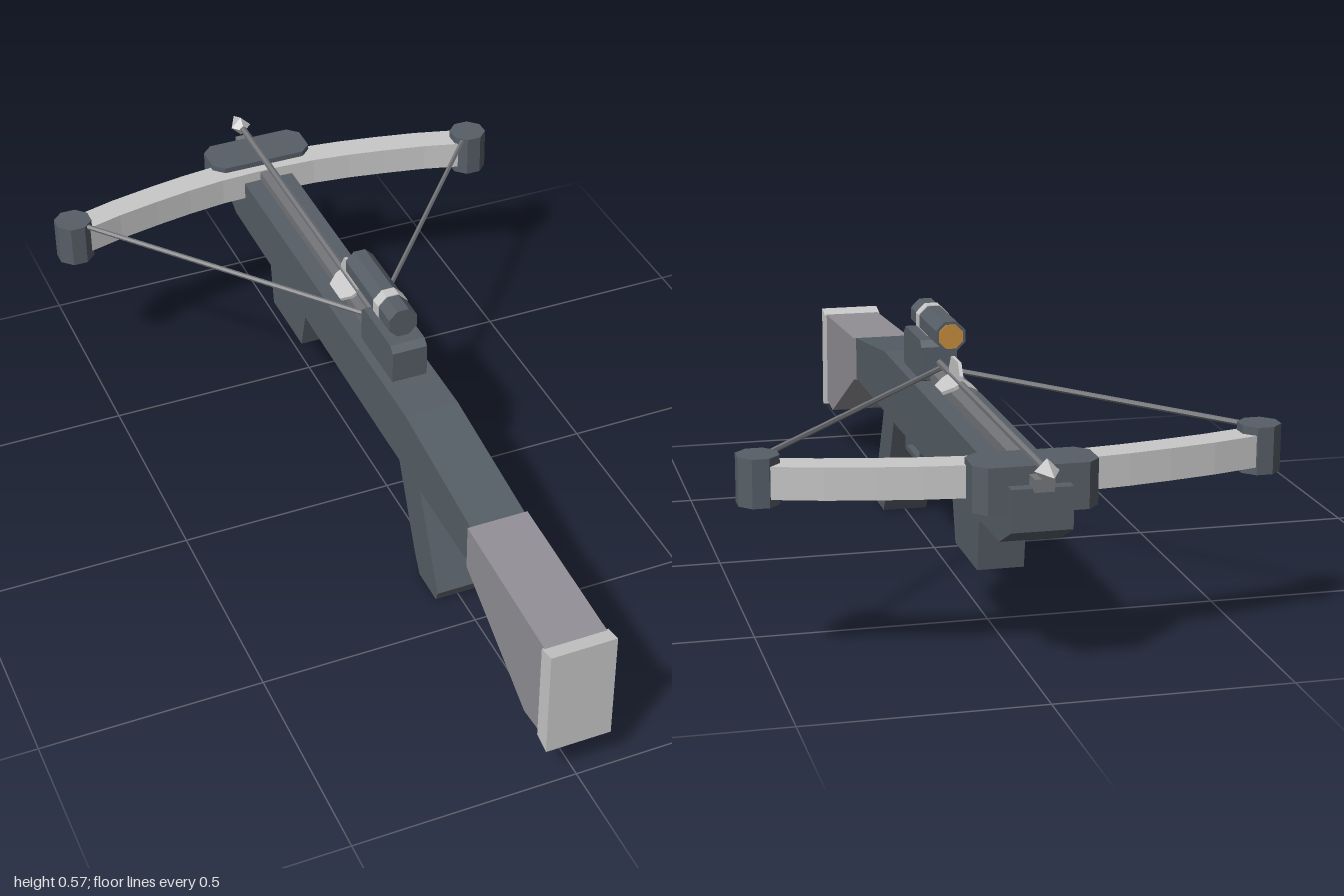
import * as THREE from 'three';

const mat = (name, color) => {
  const m = new THREE.MeshStandardMaterial({ color });
  m.name = name;
  return m;
};

export function createModel() {
  const dark = mat('dark gunmetal', 0x565e66);
  const light = mat('light grey', 0xc8c8c8);
  const stockGrey = mat('stock grey', 0x929096);
  const shaftGrey = mat('shaft grey', 0x75767a);
  const amber = mat('amber lens', 0xc48c3c);

  const model = new THREE.Group();
  model.name = 'crossbow';

  // Adds a faceted mesh
  const add = (name, geometry, material) => {
    const g = geometry.index ? geometry.toNonIndexed() : geometry;
    g.computeVertexNormals();
    const mesh = new THREE.Mesh(g, material);
    mesh.name = name;
    model.add(mesh);
    return mesh;
  };
  const shapeOf = (pts) => new THREE.Shape(pts.map((p) => new THREE.Vector2(p[0], p[1])));

  // Side profile of [z, y] points, extruded across x
  const side = (pts, width) =>
    new THREE.ExtrudeGeometry(shapeOf(pts), { depth: width, bevelEnabled: false })
      .rotateY(-Math.PI / 2).translate(width / 2, 0, 0);
  // Plan outline of [x, z] points, extruded between two heights
  const plan = (pts, y0, y1) =>
    new THREE.ExtrudeGeometry(shapeOf(pts), { depth: y1 - y0, bevelEnabled: false })
      .rotateX(Math.PI / 2).translate(0, y1, 0);
  // Rectangle with cut corners
  const chamfered = (a0, a1, b0, b1, c) => [
    [a0 + c, b0], [a1 - c, b0], [a1, b0 + c], [a1, b1 - c],
    [a1 - c, b1], [a0 + c, b1], [a0, b1 - c], [a0, b0 + c],
  ];
  // Rod between two points
  const rod = (a, b, r, sides = 6) => {
    const d = new THREE.Vector3().subVectors(b, a);
    const q = new THREE.Quaternion().setFromUnitVectors(new THREE.Vector3(0, 1, 0), d.clone().normalize());
    const mid = a.clone().add(b).multiplyScalar(0.5);
    return new THREE.CylinderGeometry(r, r, d.length(), sides)
      .applyQuaternion(q).translate(mid.x, mid.y, mid.z);
  };
  const V = (x, y, z) => new THREE.Vector3(x, y, z);

  // Body, stock and grips
  add('body', side([[0.593, 0.367], [0.25, 0.412], [-0.92, 0.412], [-0.92, 0.325],
    [-0.83, 0.28], [0.1, 0.265], [0.593, 0.263]], 0.125), dark);
  add('stock', side([[0.593, 0.367], [0.593, 0.26], [0.887, 0.105], [0.963, 0.113], [0.963, 0.347]], 0.138), stockGrey);
  add('buttPlate', side([[0.958, 0.346], [0.958, 0.105], [1, 0.094], [1, 0.356]], 0.147), light);
  add('pistolGrip', side([[0.31, 0.275], [0.303, 0.26], [0.415, 0.025], [0.405, 0],
    [0.314, 0], [0.287, 0.045], [0.19, 0.26], [0.19, 0.275]], 0.106), dark);
  add('foregrip', side([[-0.383, 0.285], [-0.383, 0.255], [-0.415, 0.147],
    [-0.605, 0.147], [-0.62, 0.255], [-0.62, 0.285]], 0.1), dark);

  // Trigger and its guard
  add('triggerGuard', side([[0.19, 0.27], [0.19, 0.188], [0.042, 0.188], [0.012, 0.27],
    [0.026, 0.27], [0.05, 0.2], [0.178, 0.2], [0.178, 0.27]], 0.05), dark);
  add('trigger', side([[0.125, 0.27], [0.112, 0.238], [0.118, 0.218], [0.106, 0.218],
    [0.096, 0.238], [0.095, 0.27]], 0.022), light);

  // Sight mount, tube, clamp ring and lens
  add('sightMount', side(chamfered(-0.05, 0.13, 0.4, 0.503, 0.014), 0.082), dark);
  const octTube = (r, z0, z1) => new THREE.CylinderGeometry(r, r, z1 - z0, 8)
    .rotateY(Math.PI / 8).rotateX(Math.PI / 2).translate(0, 0.538, (z0 + z1) / 2);
  add('sightTube', octTube(0.036, -0.16, 0.092), dark);
  add('sightRing', octTube(0.038, 0.005, 0.033), light);
  add('sightLens', octTube(0.029, -0.164, -0.158), amber);

  // Bolt rail
  add('boltRail', new THREE.BoxGeometry(0.04, 0.026, 0.89).translate(0, 0.421, -0.49), shaftGrey);

  // Bow riser
  add('riser', plan(chamfered(-0.127, 0.127, -0.893, -0.78, 0.025), 0.355, 0.45), dark);

  // Curved limbs, end pulleys and string on both sides
  for (const s of [-1, 1]) {
    const name = s > 0 ? 'left' : 'right';
    const spine = [[0, -0.79], [0.12, -0.785], [0.21, -0.774], [0.3, -0.758], [0.4, -0.737], [0.52, -0.703]];
    const outline = [
      ...spine.map(([x, z]) => [s * x, z - 0.034]),
      ...spine.map(([x, z]) => [s * x, z + 0.034]).reverse(),
    ];
    add(name + 'Limb', plan(outline, 0.37, 0.437), light);
    add(name + 'LimbTip', new THREE.CylinderGeometry(0.045, 0.045, 0.1, 8)
      .rotateY(Math.PI / 8).translate(s * 0.518, 0.404, -0.703), dark);
    add(name + 'String', rod(V(s * 0.5, 0.446, -0.685), V(0, 0.446, -0.07), 0.006), shaftGrey);
  }

  // Bolt with pointed head and three vanes
  const boltY = 0.454;
  add('boltShaft', rod(V(0, boltY, -0.055), V(0, boltY, -0.94), 0.008), shaftGrey);
  add('boltHead', new THREE.LatheGeometry(
    [[0, 0], [0.01, 0], [0.025, 0.016], [0, 0.07]].map((p) => new THREE.Vector2(...p)), 4)
    .rotateX(-Math.PI / 2).translate(0, boltY, -0.93), light);
  for (let i = 0; i < 3; i++) {
    add('boltVane', side([[-0.163, 0], [-0.163, 0.02], [-0.18, 0.045], [-0.244, 0.045], [-0.262, 0.018], [-0.262, 0]], 0.008)
      .rotateZ((i * 2 * Math.PI) / 3).translate(0, boltY, 0), light);
  }

  return model;
}
